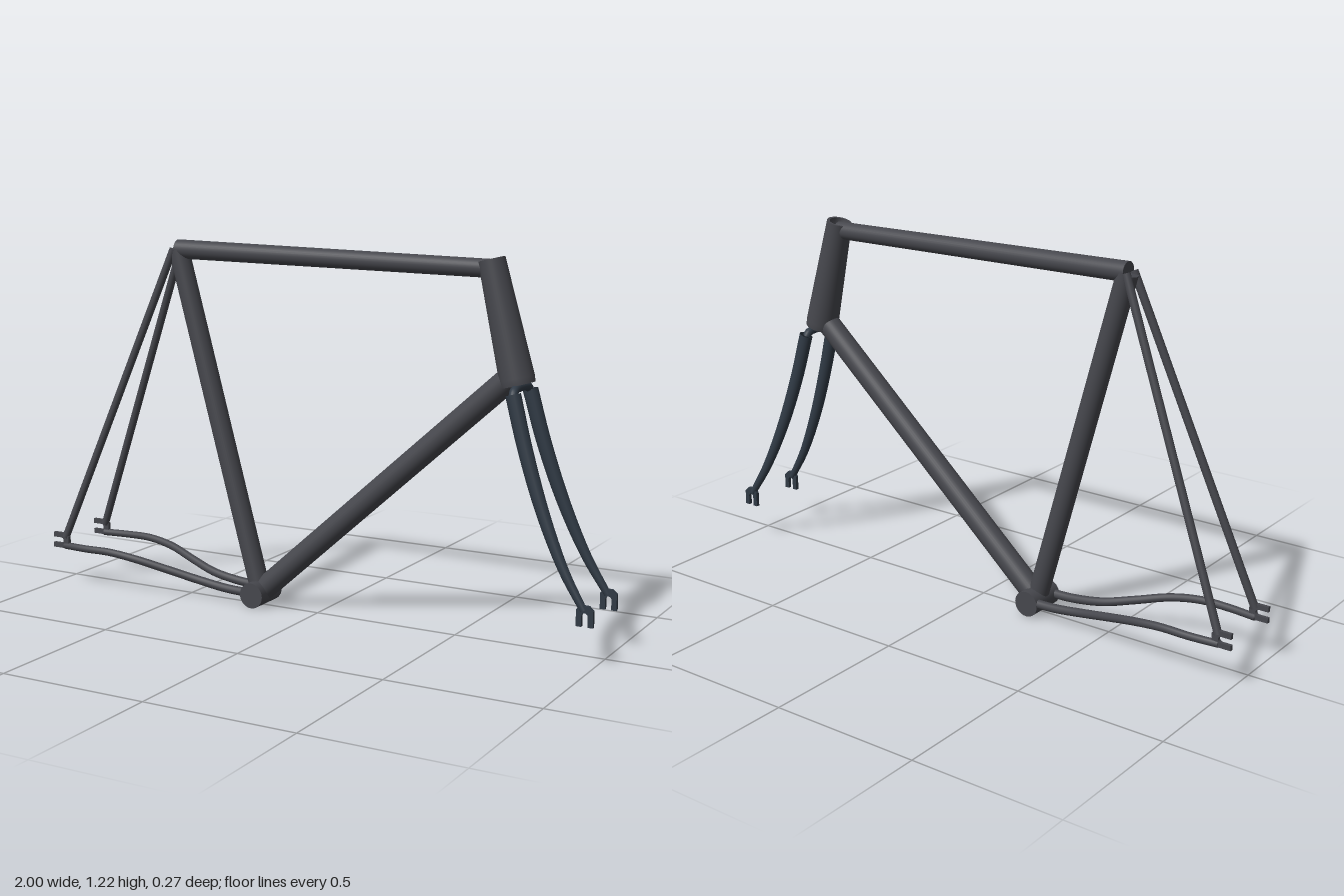
import * as THREE from 'three';

const frameMat = new THREE.MeshStandardMaterial({ color: 0x46474d, side: THREE.DoubleSide });
const forkMat = new THREE.MeshStandardMaterial({ color: 0x303a45, side: THREE.DoubleSide });
const V = (x, y, z = 0) => new THREE.Vector3(x, y, z);

function add(parent, name, geometry, material = frameMat) {
  const mesh = new THREE.Mesh(geometry, material);
  mesh.name = name;
  parent.add(mesh);
  return mesh;
}

// Turns a y-aligned mesh so that it runs from a towards b, centred between them
function span(mesh, a, b) {
  mesh.position.copy(a).add(b).multiplyScalar(0.5);
  mesh.quaternion.setFromUnitVectors(V(0, 1), b.clone().sub(a).normalize());
}

function straightTube(parent, name, a, b, rA, rB = rA) {
  span(add(parent, name, new THREE.CylinderGeometry(rB, rA, a.distanceTo(b), 32)), a, b);
}

// Curved tube with tapering radius, flattened in z, and flat closed ends
function sweep(points, r0, r1, flat = 1, bulge = 0) {
  const n = 42, sides = 16;
  const curve = new THREE.CatmullRomCurve3(points);
  const geo = new THREE.TubeGeometry(curve, n, 1, sides);
  const pos = geo.attributes.position;
  for (let i = 0; i <= n; i++) {
    const t = THREE.MathUtils.clamp((i - 1) / (n - 2), 0, 1);
    const from = curve.getPointAt(i / n), to = curve.getPointAt(t);
    const r = i === 0 || i === n ? 0 : r0 + (r1 - r0) * t + bulge * Math.sin(Math.PI * t);
    for (let j = 0; j <= sides; j++) {
      const k = i * (sides + 1) + j;
      const d = V(0, 0).fromBufferAttribute(pos, k).sub(from).multiplyScalar(r);
      pos.setXYZ(k, to.x + d.x, to.y + d.y, to.z + d.z * flat);
    }
  }
  return geo;
}

// Thin fork-shaped plate with its slot open towards -y
function dropoutGeometry() {
  const shape = new THREE.Shape();
  shape.moveTo(-0.027, -0.033);
  shape.lineTo(-0.010, -0.033);
  shape.lineTo(-0.010, 0.000);
  shape.absarc(0, 0, 0.010, Math.PI, 0, true);
  shape.lineTo(0.010, -0.033);
  shape.lineTo(0.027, -0.033);
  shape.lineTo(0.027, 0.018);
  shape.lineTo(0.012, 0.032);
  shape.lineTo(-0.016, 0.032);
  shape.lineTo(-0.027, 0.018);
  shape.closePath();
  const geo = new THREE.ExtrudeGeometry(shape, { depth: 0.012, bevelEnabled: false, curveSegments: 10 });
  return geo.translate(0, 0, -0.006);
}

export function createModel() {
  const model = new THREE.Group();
  model.name = 'bicycleFrame';

  // Main triangle
  const seatTop = V(-0.533, 1.185), crank = V(-0.22, 0.045);
  straightTube(model, 'topTube', V(-0.535, 1.188), V(0.605, 1.168), 0.032, 0.029);
  straightTube(model, 'seatTube', crank, seatTop, 0.034);
  straightTube(model, 'downTube', crank, V(0.675, 0.842), 0.039);
  const shell = add(model, 'bottomBracketShell', new THREE.CylinderGeometry(0.043, 0.043, 0.13, 32));
  shell.rotation.x = Math.PI / 2;
  shell.position.copy(crank);

  // Tapered head tube with an open top
  const headBottom = V(0.698, 0.82), headTop = V(0.603, 1.197);
  const h = headBottom.distanceTo(headTop) / 2;
  const profile = [[0, -h], [0.053, -h], [0.053, -h], [0.055, -h + 0.02], [0.042, h], [0.042, h],
    [0.033, h], [0.033, h], [0.033, h - 0.05], [0, h - 0.05]];
  const head = add(model, 'headTube', new THREE.LatheGeometry(profile.map(p => new THREE.Vector2(...p)), 36));
  span(head, headBottom, headTop);

  // Fork crown under the head tube
  const fork = new THREE.Group();
  fork.name = 'fork';
  model.add(fork);
  add(fork, 'forkCrown', sweep([V(0.71, 0.79, -0.068), V(0.708, 0.808, -0.055), V(0.705, 0.814, 0),
    V(0.708, 0.808, 0.055), V(0.71, 0.79, 0.068)], 0.014, 0.014), forkMat);

  for (const s of [1, -1]) {
    const side = s > 0 ? 'left' : 'right';

    // Curved fork blade and its dropout
    add(fork, side + 'ForkBlade', sweep([V(0.71, 0.8, s * 0.068), V(0.755, 0.64, s * 0.075),
      V(0.82, 0.455, s * 0.086), V(0.895, 0.29, s * 0.097), V(0.965, 0.175, s * 0.104)],
      0.025, 0.012, 0.72, 0.003), forkMat);
    add(fork, side + 'ForkDropout', dropoutGeometry(), forkMat).position.set(0.97, 0.16, s * 0.104);

    // Rear stays
    straightTube(model, side + 'SeatStay', V(-0.952, 0.17, s * 0.115), V(-0.541, 1.188, s * 0.022), 0.013);
    add(model, side + 'ChainStay', sweep([V(-0.2, 0.05, s * 0.05), V(-0.32, 0.053, s * 0.05),
      V(-0.44, 0.07, s * 0.055), V(-0.54, 0.095, s * 0.078), V(-0.66, 0.126, s * 0.11),
      V(-0.76, 0.14, s * 0.122), V(-0.86, 0.14, s * 0.124), V(-0.955, 0.139, s * 0.115)], 0.015, 0.012));

    // Rear dropout, slot facing backwards
    const drop = add(model, side + 'RearDropout', dropoutGeometry());
    drop.rotation.z = -Math.PI / 2;
    drop.position.set(-0.967, 0.158, s * 0.117);
  }
  return model;
}
